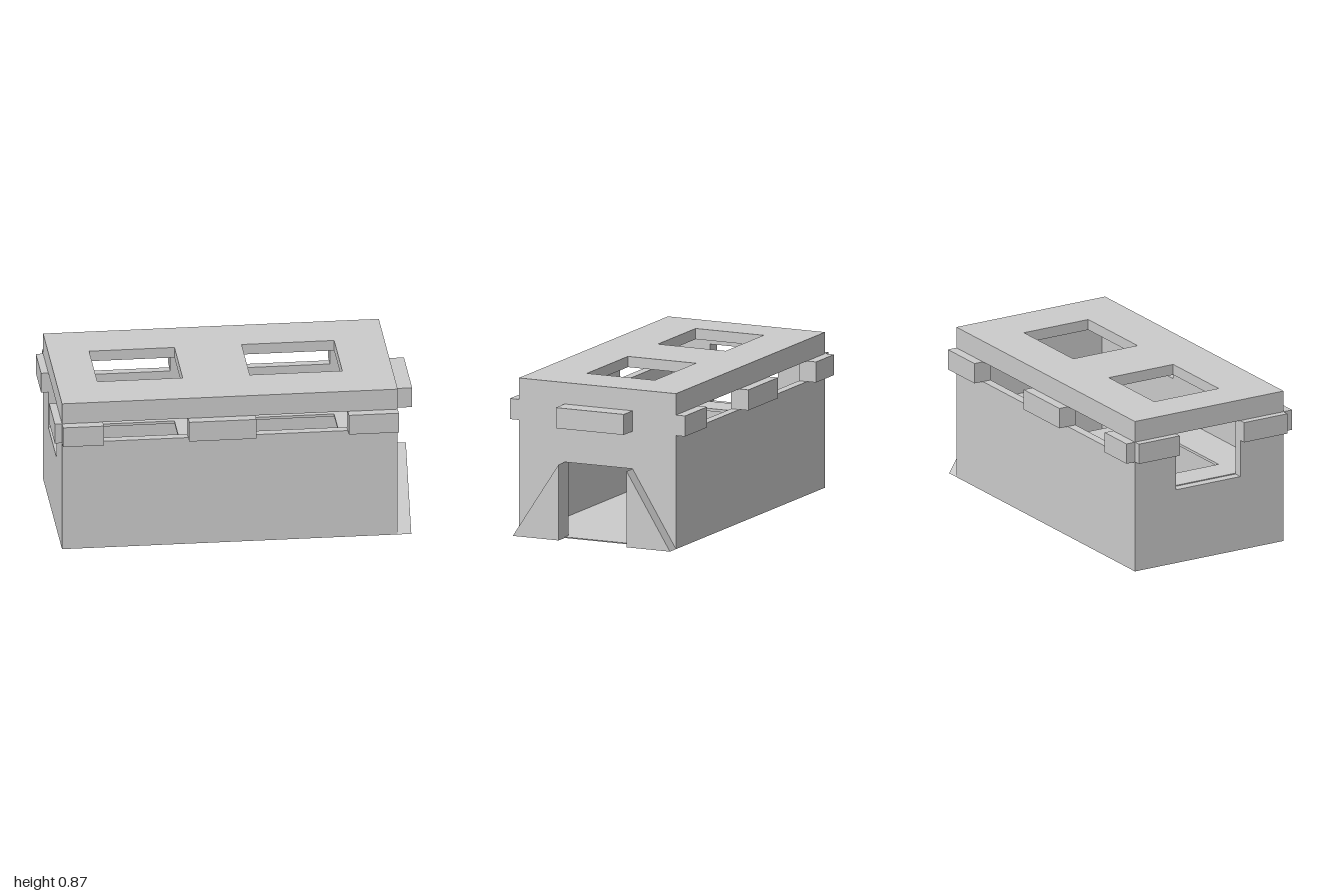
import * as THREE from 'three';

const material = new THREE.MeshStandardMaterial({ color: 0xcccccc, flatShading: true });

// Overall box and shared opening limits
const X0 = -0.96, X1 = 0.89, Z = 0.48, T = 0.05;
const SILL = 0.635, HEAD = 0.75, TOP = 0.87, DECK = 0.425;
const Z0 = -0.215, Z1 = 0.2;
const bays = [[-0.735, -0.265], [0.105, 0.615]];

function rect(target, x0, y0, x1, y1) {
  target.moveTo(x0, y0);
  target.lineTo(x1, y0);
  target.lineTo(x1, y1);
  target.lineTo(x0, y1);
  target.closePath();
  return target;
}

export function createModel() {
  const group = new THREE.Group();

  const add = (name, geometry) => {
    const mesh = new THREE.Mesh(geometry, material);
    mesh.name = name;
    group.add(mesh);
    return mesh;
  };

  const box = (name, x0, x1, y0, y1, z0, z1) =>
    add(name, new THREE.BoxGeometry(x1 - x0, y1 - y0, z1 - z0)
      .translate((x0 + x1) / 2, (y0 + y1) / 2, (z0 + z1) / 2));

  const extrude = (shape, depth) => new THREE.ExtrudeGeometry(shape, { depth, bevelEnabled: false });

  // Horizontal plate with the two hatch openings
  const plate = (name, y, depth, inset) => {
    const shape = rect(new THREE.Shape(), X0 + inset, -Z + inset, X1 - inset, Z - inset);
    for (const [a, b] of bays) shape.holes.push(rect(new THREE.Path(), a, -Z1, b, -Z0));
    add(name, extrude(shape, depth).rotateX(-Math.PI / 2).translate(0, y, 0));
  };
  plate('roof', TOP - 0.06, 0.06, 0);
  plate('upperFloor', DECK - 0.01, 0.015, T);
  box('groundFloor', X0, X1, 0, 0.006, -Z, Z);

  // Long walls with two viewing slots each
  for (const [name, z] of [['frontWall', Z - T], ['backWall', -Z]]) {
    const shape = rect(new THREE.Shape(), X0, 0, X1, TOP);
    for (const [a, b] of bays) shape.holes.push(rect(new THREE.Path(), a, SILL, b, HEAD));
    add(name, extrude(shape, T).translate(0, 0, z));
  }

  // End walls, drawn in the z-y plane: shape x is -z
  const endWall = (name, shape, x) =>
    add(name, extrude(shape, T).rotateY(Math.PI / 2).translate(x, 0, 0));

  const doorWall = new THREE.Shape([
    [-Z, 0], [-Z1, 0], [-Z1, DECK], [-Z0, DECK], [-Z0, 0], [Z, 0], [Z, TOP], [-Z, TOP],
  ].map(([a, b]) => new THREE.Vector2(a, b)));
  endWall('doorWall', doorWall, X1 - T);

  const windowWall = rect(new THREE.Shape(), -Z, 0, Z, TOP);
  windowWall.holes.push(rect(new THREE.Path(), -Z1, DECK, -Z0, HEAD));
  endWall('windowWall', windowWall, X0);

  // Blocks between the slots, projecting from the long walls
  for (const [a, b] of [[X0, bays[0][0]], [bays[0][1], bays[1][0]], [bays[1][1], X1]]) {
    box('frontBlock', a, b, SILL, HEAD, Z - 0.01, 0.535);
    box('backBlock', a, b, SILL, HEAD, -0.535, -Z + 0.01);
  }

  // Blocks on the end walls
  box('doorBlock', X1 - 0.01, 1, SILL, HEAD, Z0, Z1);
  box('windowBlock', -1, X0 + 0.01, SILL, HEAD, Z1, Z);
  box('windowBlock', -1, X0 + 0.01, SILL, HEAD, -Z, Z0);

  // Sloping buttresses beside the doorway
  for (const [inner, outer] of [[Z1, Z], [Z0, -Z]]) {
    const shape = new THREE.Shape([
      new THREE.Vector2(-inner, 0), new THREE.Vector2(-outer, 0), new THREE.Vector2(-inner, DECK),
    ]);
    add('buttress', extrude(shape, 0.075).rotateY(Math.PI / 2).translate(X1, 0, 0));
  }

  // Low bench on the ground floor, under the first hatch
  box('bench', X0 + T, bays[0][1] + 0.05, 0.005, 0.09, -0.075, 0.06);

  return group;
}
